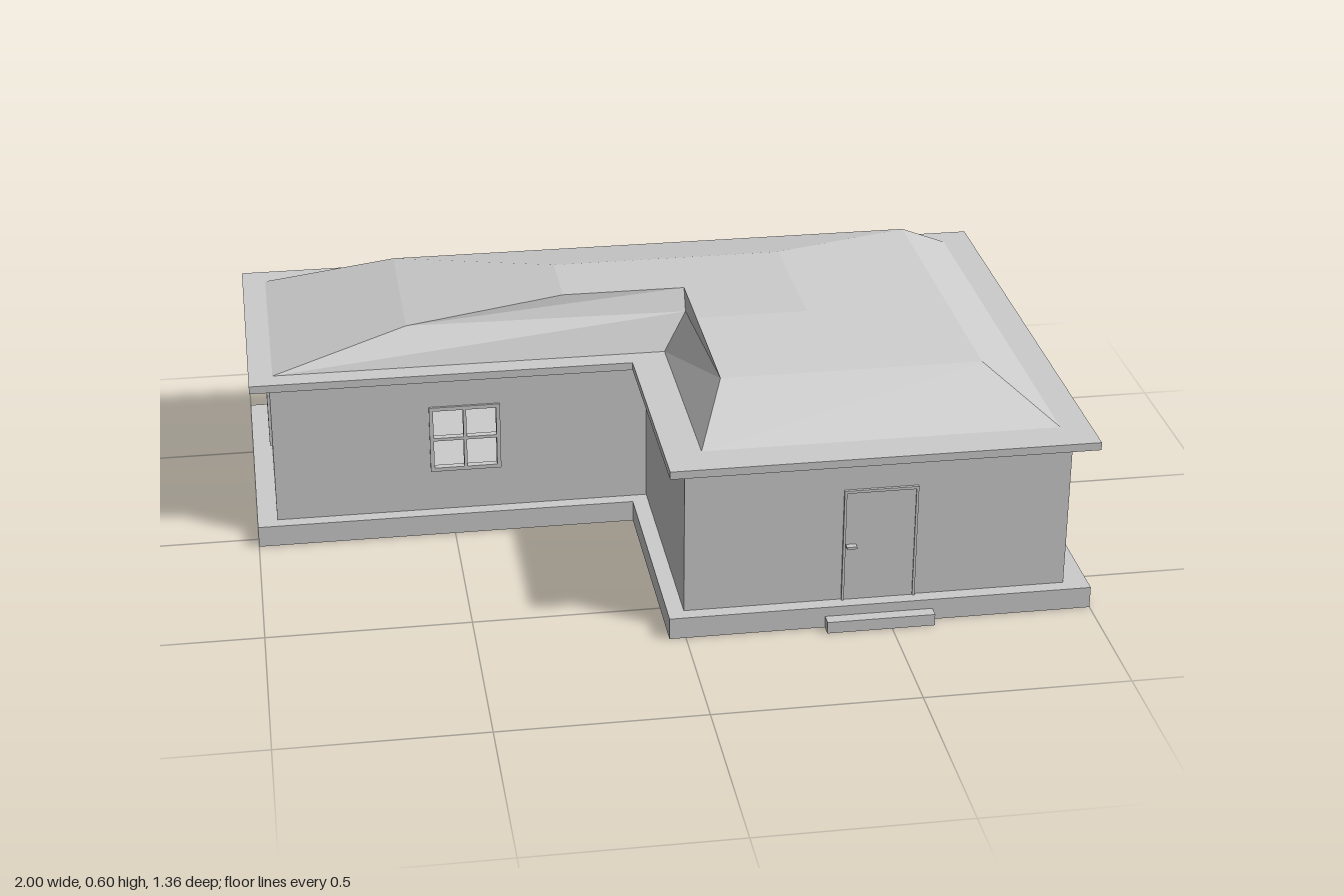
import * as THREE from 'three';

const material = new THREE.MeshStandardMaterial({ color: 0xcccccc, flatShading: true, side: THREE.DoubleSide });

// L-shaped outline [x, z], counter-clockwise from above, starting at the inner end of the porch front
const outline = (x0, xi, x1, z0, zi, z1) =>
  [[xi, z1], [x1, z1], [x1, z0], [x0, z0], [x0, zi], [xi, zi]];

function add(parent, name, geometry, x = 0, y = 0, z = 0) {
  const mesh = new THREE.Mesh(geometry, material);
  mesh.name = name;
  mesh.position.set(x, y, z);
  parent.add(mesh);
  return mesh;
}

function box(parent, name, x0, x1, y0, y1, z0, z1) {
  return add(parent, name, new THREE.BoxGeometry(x1 - x0, y1 - y0, z1 - z0),
    (x0 + x1) / 2, (y0 + y1) / 2, (z0 + z1) / 2);
}

// Stacked outlines joined by quads, capped on top and open below
function loft(rings) {
  const positions = [];
  const push = (...points) => points.forEach((p) => positions.push(...p));
  const levels = rings.map(({ y, points }) => points.map(([x, z]) => [x, y, z]));
  for (let i = 0; i + 1 < levels.length; i++) {
    const low = levels[i], high = levels[i + 1], n = low.length;
    for (let j = 0; j < n; j++) {
      const k = (j + 1) % n;
      push(low[j], low[k], high[k], low[j], high[k], high[j]);
    }
  }
  const top = levels[levels.length - 1];
  const flat = top.map(([x, , z]) => new THREE.Vector2(x, -z));
  for (const [a, b, c] of THREE.ShapeUtils.triangulateShape(flat, [])) push(top[a], top[b], top[c]);
  const geometry = new THREE.BufferGeometry();
  geometry.setAttribute('position', new THREE.Float32BufferAttribute(positions, 3));
  geometry.computeVertexNormals();
  return geometry;
}

function rectangle(x0, x1, y0, y1, Type = THREE.Shape) {
  return new Type([[x0, y0], [x1, y0], [x1, y1], [x0, y1]].map((p) => new THREE.Vector2(...p)));
}

const extrude = (shape, depth) => new THREE.ExtrudeGeometry(shape, { depth, bevelEnabled: false });

// Window frame with four open panes, centred on its own origin
function windowFrame(size) {
  const h = size / 2, rim = 0.01, bar = 0.004;
  const shape = rectangle(-h, h, -h, h);
  for (const sx of [-1, 1]) for (const sy of [-1, 1]) {
    const xs = [sx * bar, sx * (h - rim)].sort((a, b) => a - b);
    const ys = [sy * bar, sy * (h - rim)].sort((a, b) => a - b);
    shape.holes.push(rectangle(...xs, ...ys, THREE.Path));
  }
  return extrude(shape, 0.018).translate(0, 0, -0.012);
}

export function createModel() {
  const house = new THREE.Group();
  house.name = 'house';
  const edge = outline(-1, -0.04, 1, -0.68, 0.04, 0.65);
  const floorY = 0.055, eaveY = 0.43, roofY = 0.45;

  // Foundation, hollow underneath
  add(house, 'foundation', loft([{ y: 0, points: edge }, { y: floorY, points: edge }]));

  // Walls; some carry a window as [distance along wall, centre height, size]
  const corners = outline(-0.95, 0, 0.94, -0.645, 0.005, 0.615);
  const names = ['porchFrontWall', 'rightSideWall', 'backWall', 'endWall', 'wingFrontWall', 'innerWall'];
  const windows = { endWall: [0.325, 0.255, 0.2], wingFrontWall: [0.485, 0.255, 0.18] };
  corners.forEach(([x, z], i) => {
    const [nx, nz] = corners[(i + 1) % corners.length];
    const length = Math.hypot(nx - x, nz - z);
    const wall = new THREE.Group();
    wall.name = names[i];
    wall.position.set(x, 0, z);
    wall.rotation.y = Math.atan2(z - nz, nx - x);
    const shape = rectangle(0, length, floorY, eaveY);
    const opening = windows[names[i]];
    if (opening) {
      const [u, v, size] = opening, h = size / 2 - 0.002;
      shape.holes.push(rectangle(u - h, u + h, v - h, v + h, THREE.Path));
      add(wall, 'windowFrame', windowFrame(size), u, v, 0);
    }
    add(wall, 'wallPanel', extrude(shape, 0.012).translate(0, 0, -0.012));
    house.add(wall);
  });

  // Eave slab
  const eave = new THREE.Shape(edge.map(([x, z]) => new THREE.Vector2(x, -z)));
  add(house, 'eave', extrude(eave, roofY - eaveY).rotateX(-Math.PI / 2), 0, eaveY, 0);

  // Two-pitch hipped roof with a flat crown
  add(house, 'roof', loft([
    { y: roofY, points: outline(-0.94, 0.05, 0.925, -0.615, -0.015, 0.555) },
    { y: 0.54, points: [[0.13, 0.35], [0.78, 0.35], [0.78, -0.51], [-0.6, -0.51], [-0.6, -0.07], [0.11, -0.055]] },
    { y: 0.595, points: outline(-0.2, 0.11, 0.39, -0.275, -0.08, 0.11) },
  ]));

  // Door with a thin surround, handle and front step
  const door = new THREE.Group();
  door.name = 'door';
  house.add(door);
  box(door, 'doorLeaf', 0.39, 0.56, floorY, 0.345, 0.61, 0.618);
  for (const x of [0.385, 0.56]) box(door, 'doorJamb', x, x + 0.006, floorY, 0.352, 0.61, 0.622);
  box(door, 'doorHead', 0.385, 0.566, 0.345, 0.352, 0.61, 0.622);
  box(door, 'handle', 0.392, 0.417, 0.2, 0.206, 0.618, 0.634);
  box(house, 'frontStep', 0.34, 0.605, 0, 0.03, 0.65, 0.68);

  return house;
}
